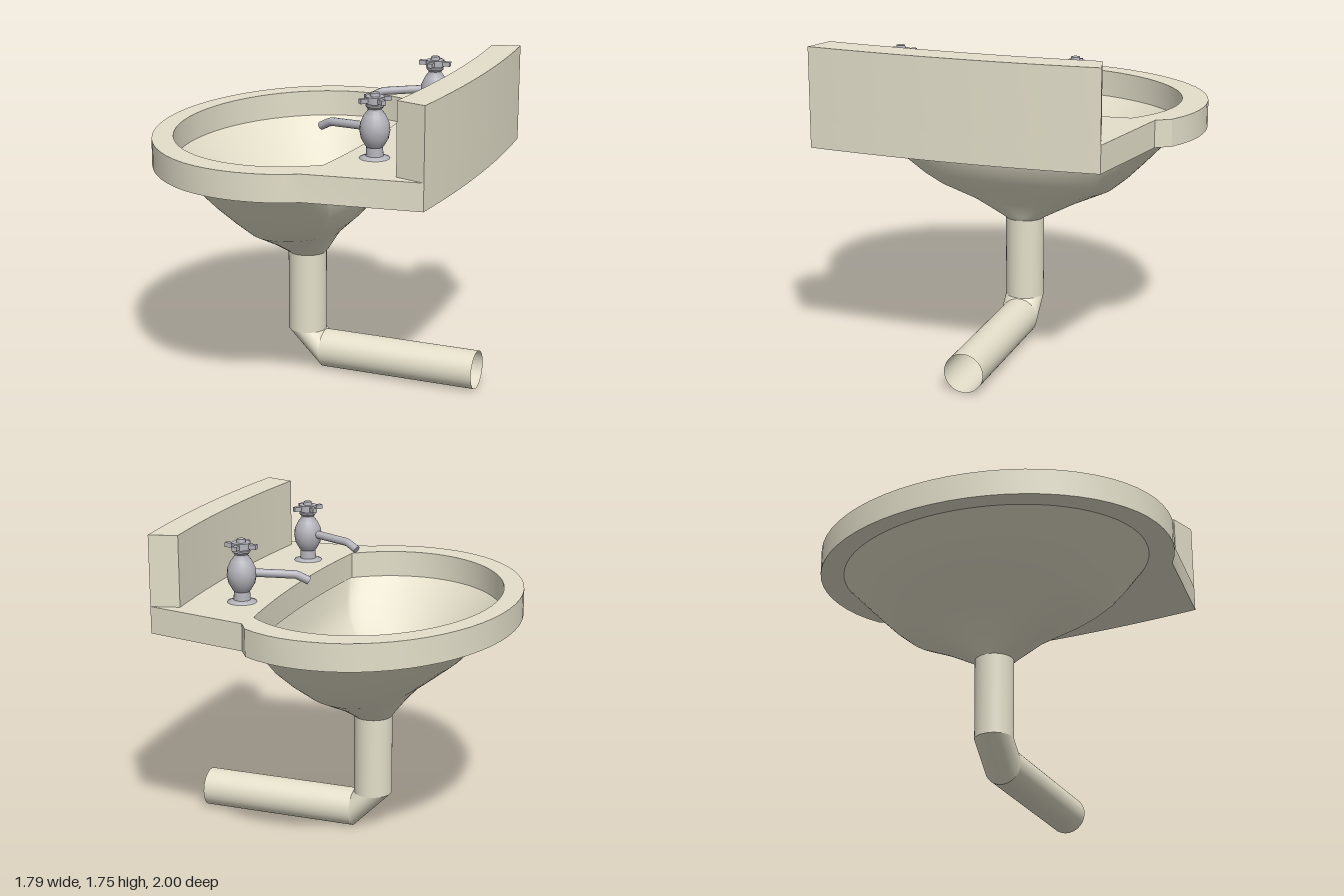
import * as THREE from 'three';
import { toCreasedNormals } from 'three/addons/utils/BufferGeometryUtils.js';

const CX = -0.11;      // centre of bowl and drain in x
const RIM_TOP = 1.37, RIM_BOTTOM = 1.225;
const N = 72;

const ceramic = new THREE.MeshStandardMaterial({ color: 0xe4dfca, side: THREE.DoubleSide });
const metal = new THREE.MeshStandardMaterial({ color: 0xb4b4bb });

function addMesh(parent, name, geometry, material) {
  const mesh = new THREE.Mesh(geometry, material);
  mesh.name = name;
  parent.add(mesh);
  return mesh;
}

// Skin over closed rings; each ring is a function of the angle returning [x, y, z].
function loft(rings) {
  const pos = [], index = [];
  rings.forEach((ring, r) => {
    for (let i = 0; i < N; i++) {
      pos.push(...ring((i / N) * Math.PI * 2));
      if (r === 0) continue;
      const a = (r - 1) * N + i, b = (r - 1) * N + (i + 1) % N;
      index.push(a, b, a + N, b, b + N, a + N);
    }
  });
  const g = new THREE.BufferGeometry();
  g.setAttribute('position', new THREE.Float32BufferAttribute(pos, 3));
  g.setIndex(index);
  g.computeVertexNormals();
  return g;
}

// Basin outline: an ellipse whose back is cut by a shallow curve; round = 1 gives a plain ellipse.
function basinPoint(a, front, back, side, round) {
  const c = Math.cos(a), s = Math.sin(a);
  const cut = Math.min(0.68 * c, 0.43 - 0.04 * (0.86 * s / 0.71) ** 2) / 0.43;
  const x = c < 0 ? front * c : back * THREE.MathUtils.lerp(cut, c, round);
  return [CX + x, side * s];
}

// Slab with vertical sides from a plan shape (shape y becomes z)
function slab(shape, top, depth) {
  const g = new THREE.ExtrudeGeometry(shape, { depth, bevelEnabled: false, curveSegments: 12 });
  g.rotateX(Math.PI / 2);
  g.translate(0, top, 0);
  return toCreasedNormals(g, 0.5);
}

function makeRim() {
  const shape = new THREE.Shape();
  shape.moveTo(0.29, -0.83);
  // Rounded front, running round from the -z side to the +z side
  const start = Math.acos(0.35 / 0.785);
  for (let i = 0; i <= 40; i++) {
    const a = -start - (i / 40) * (2 * Math.PI - 2 * start);
    shape.lineTo(CX + 0.785 * Math.cos(a), Math.sin(a) * (1 + 0.03 * Math.max(0, Math.cos(a))));
  }
  shape.lineTo(0.85, 0.83);
  shape.quadraticCurveTo(0.93, 0.06, 0.86, -0.71);
  const hole = [];
  for (let i = 0; i < N; i++) {
    hole.push(new THREE.Vector2(...basinPoint((i / N) * Math.PI * 2, 0.68, 0.43, 0.86, 0)));
  }
  shape.holes.push(new THREE.Path(hole));
  return slab(shape, RIM_TOP, RIM_TOP - RIM_BOTTOM);
}

function makeBacksplash() {
  const shape = new THREE.Shape();
  shape.moveTo(0.69, 0.78);
  shape.lineTo(0.85, 0.83);
  shape.quadraticCurveTo(0.93, 0.06, 0.86, -0.71);
  shape.lineTo(0.71, -0.67);
  shape.quadraticCurveTo(0.77, 0.05, 0.69, 0.78);
  return slab(shape, 1.75, 1.75 - RIM_TOP);
}

function makeBowl() {
  // height, reach to the front, reach to the back, half width, roundness
  const sections = [
    [RIM_BOTTOM, 0.68, 0.435, 0.865, 0],
    [1.12, 0.58, 0.415, 0.765, 0.05],
    [1.03, 0.49, 0.39, 0.68, 0.15],
    [0.94, 0.375, 0.33, 0.59, 0.3],
    [0.865, 0.275, 0.265, 0.5, 0.5],
    [0.77, 0.185, 0.165, 0.3, 0.8],
    [0.69, 0.122, 0.122, 0.15, 1],
    [0.665, 0.105, 0.105, 0.105, 1],
  ];
  return loft(sections.map(([y, front, back, side, round]) => (a) => {
    const [x, z] = basinPoint(a, front, back, side, round);
    return [x, y, z];
  }));
}

// Drain: straight drop, one chamfered bend, straight run towards the wall
function makePipe(group) {
  const r = 0.105;
  const level = (y) => (a) => [CX - r * Math.cos(a), y, r * Math.sin(a)];
  const upright = (x) => (a) => [x, 0.107 - r * Math.cos(a), r * Math.sin(a)];
  const pipe = new THREE.Group();
  pipe.name = 'drainPipe';
  addMesh(pipe, 'pipeDrop', loft([level(0.67), level(0.215)]), ceramic);
  addMesh(pipe, 'pipeBend', loft([level(0.215), upright(-0.003)]), ceramic);
  addMesh(pipe, 'pipeRun', loft([upright(-0.003), upright(0.88)]), ceramic);
  group.add(pipe);
}

function makeTap(name, x, z, turn) {
  const tap = new THREE.Group();
  tap.name = name;
  // Flange, stem, belly, neck and collar
  const profile = [
    [0.08, 0], [0.075, 0.006], [0.045, 0.015], [0.042, 0.06], [0.05, 0.07], [0.07, 0.105],
    [0.078, 0.145], [0.074, 0.185], [0.055, 0.225], [0.036, 0.25], [0.036, 0.258],
    [0.047, 0.27], [0.047, 0.278], [0.03, 0.284], [0, 0.284],
  ].map(([r, y]) => new THREE.Vector2(r, y));
  addMesh(tap, 'tapBody', toCreasedNormals(new THREE.LatheGeometry(profile, 20), 0.7), metal);

  // Spout leaning out over the basin, bent down at the tip
  const path = new THREE.CurvePath();
  const pts = [[-0.05, 0.158], [-0.15, 0.153], [-0.285, 0.145], [-0.35, 0.112]]
    .map(([px, py]) => new THREE.Vector3(px, py, 0));
  for (let i = 0; i < 3; i++) path.add(new THREE.LineCurve3(pts[i], pts[i + 1]));
  addMesh(tap, 'tapSpout', new THREE.TubeGeometry(path, 20, 0.022, 10, false), metal);
  const tip = addMesh(tap, 'spoutTip', new THREE.CircleGeometry(0.022, 10), metal);
  tip.position.copy(pts[3]);
  tip.lookAt(pts[3].clone().multiplyScalar(2).sub(pts[2]));

  // Cross handle
  const handle = new THREE.Group();
  handle.name = 'tapHandle';
  handle.position.y = 0.302;
  handle.rotation.y = -0.39;
  addMesh(handle, 'handleHub', new THREE.CylinderGeometry(0.05, 0.05, 0.036, 16), metal);
  addMesh(handle, 'handleCap', new THREE.CylinderGeometry(0.022, 0.026, 0.026, 12), metal).position.y = 0.024;
  for (let i = 0; i < 4; i++) {
    const a = (i * Math.PI) / 2;
    const spoke = addMesh(handle, 'handleSpoke', new THREE.BoxGeometry(0.05, 0.024, 0.026), metal);
    spoke.position.set(0.063 * Math.cos(a), 0, -0.063 * Math.sin(a));
    spoke.rotation.y = a;
  }
  tap.add(handle);
  tap.position.set(x, RIM_TOP - 0.002, z);
  tap.rotation.y = turn;
  return tap;
}

export function createModel() {
  const model = new THREE.Group();
  model.name = 'washbasin';
  addMesh(model, 'rim', makeRim(), ceramic);
  addMesh(model, 'backsplash', makeBacksplash(), ceramic);
  addMesh(model, 'bowl', makeBowl(), ceramic);
  makePipe(model);
  model.add(makeTap('rearTap', 0.455, -0.455, 0.39), makeTap('frontTap', 0.465, 0.485, -0.3));
  return model;
}
